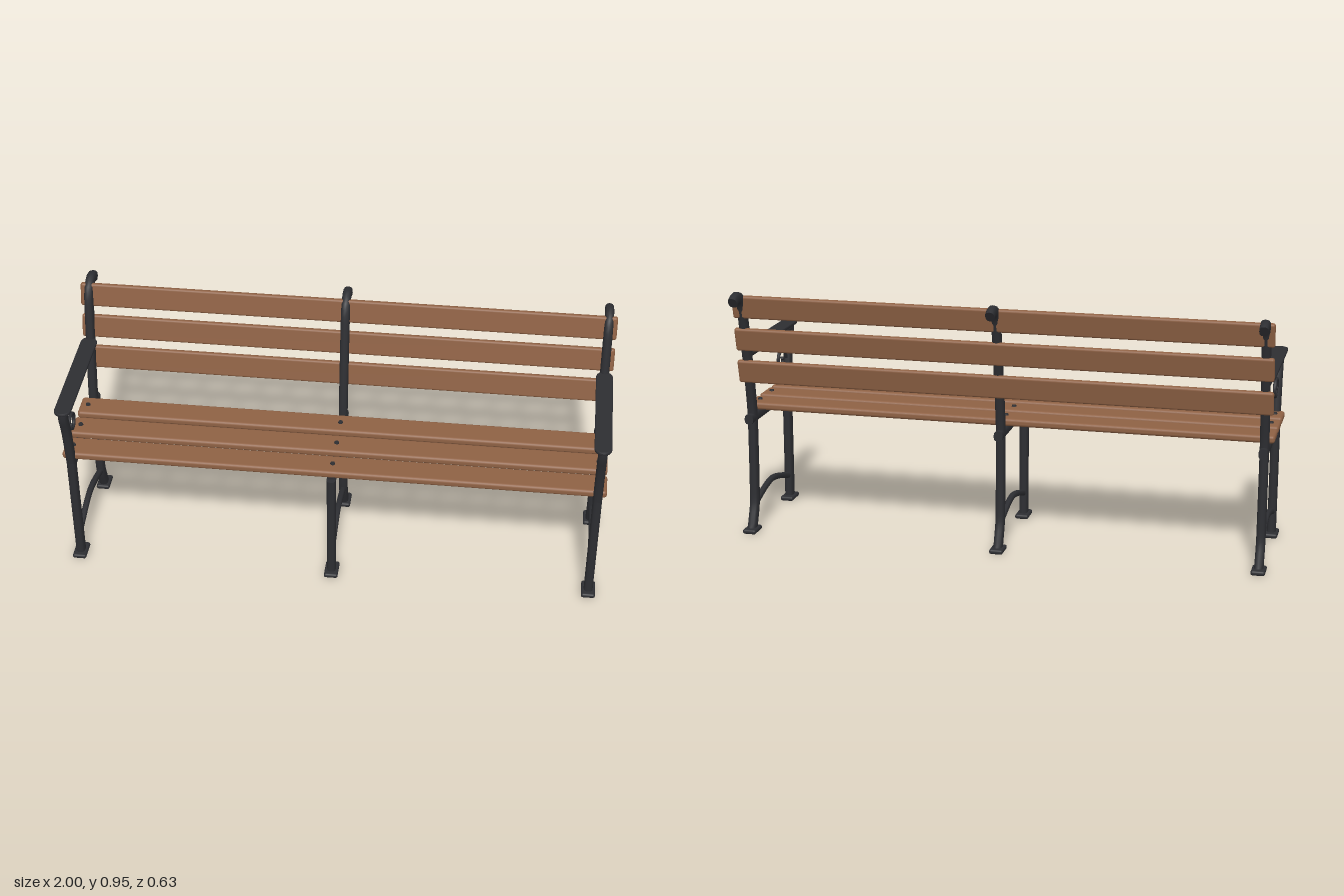
import * as THREE from 'three';
import { RoundedBoxGeometry } from 'three/addons/geometries/RoundedBoxGeometry.js';

const iron = new THREE.MeshStandardMaterial({ color: 0x2d2e32 });
const wood = new THREE.MeshStandardMaterial({ color: 0x8e6144 });

function add(parent, name, geometry, material, x = 0, y = 0, z = 0) {
  const mesh = new THREE.Mesh(geometry, material);
  mesh.name = name;
  mesh.position.set(x, y, z);
  parent.add(mesh);
  return mesh;
}

// Bar with a rounded section, swept along [z, y] points in the side plane.
// rx is the half width across x, rn the half depth within the plane.
function barGeometry(points, rx, rn, steps, sides = 12) {
  const curve = new THREE.CatmullRomCurve3(points.map(([z, y]) => new THREE.Vector3(0, y, z)));
  const across = new THREE.Vector3(1, 0, 0);
  const soft = (v) => Math.sign(v) * Math.abs(v) ** 0.75;
  const pos = [], index = [];
  const ring = (u) => {
    const p = curve.getPointAt(u);
    const n = curve.getTangentAt(u).cross(across).normalize();
    for (let j = 0; j < sides; j++) {
      const a = (j / sides) * Math.PI * 2;
      const s = soft(Math.sin(a)) * rn;
      pos.push(soft(Math.cos(a)) * rx, p.y + n.y * s, p.z + n.z * s);
    }
    return p;
  };
  for (let i = 0; i <= steps; i++) ring(i / steps);
  for (let i = 0; i < steps; i++) {
    for (let j = 0; j < sides; j++) {
      const k = (j + 1) % sides;
      const a = i * sides + j, b = i * sides + k;
      index.push(a, b, b + sides, a, b + sides, a + sides);
    }
  }
  // Flat end caps with their own vertices
  for (const u of [0, 1]) {
    const first = pos.length / 3;
    const p = ring(u);
    pos.push(p.x, p.y, p.z);
    for (let j = 0; j < sides; j++) {
      const a = first + j, b = first + ((j + 1) % sides);
      if (u) index.push(first + sides, a, b);
      else index.push(first + sides, b, a);
    }
  }
  const geometry = new THREE.BufferGeometry();
  geometry.setAttribute('position', new THREE.Float32BufferAttribute(pos, 3));
  geometry.setIndex(index);
  geometry.computeVertexNormals();
  return geometry;
}

// Flat armrest plate with rounded front and back ends
function armPlateGeometry(width, zFront, zBack, thickness) {
  const r = width / 2, b = 0.004;
  const shape = new THREE.Shape();
  shape.absarc(0, -(zFront - r), r - b, Math.PI, Math.PI * 2);
  shape.absarc(0, -(zBack + r), r - b, 0, Math.PI);
  const geometry = new THREE.ExtrudeGeometry(shape, {
    depth: thickness - 2 * b, bevelThickness: b, bevelSize: b, bevelSegments: 2, curveSegments: 10,
  });
  return geometry.rotateX(-Math.PI / 2).translate(0, b, 0);
}

const backPost = barGeometry([
  [-0.19, 0.01], [-0.175, 0.05], [-0.157, 0.1], [-0.151, 0.18], [-0.145, 0.42], [-0.147, 0.48],
  [-0.163, 0.6], [-0.185, 0.73], [-0.205, 0.84], [-0.217, 0.89], [-0.238, 0.92], [-0.265, 0.93],
  [-0.287, 0.927], [-0.304, 0.917],
], 0.017, 0.0215, 48);
const frontLeg = barGeometry([[0.231, 0.01], [0.235, 0.23], [0.238, 0.455]], 0.017, 0.022, 4);
const armPost = barGeometry([
  [0.238, 0.44], [0.246, 0.5], [0.262, 0.6], [0.275, 0.65], [0.286, 0.685], [0.287, 0.708],
], 0.017, 0.02, 16);
const seatRail = barGeometry([[0.24, 0.443], [0, 0.443], [-0.187, 0.443]], 0.017, 0.0195, 2);
const brace = barGeometry([
  [0.22, 0.1], [0.1, 0.134], [0.03, 0.144], [-0.04, 0.134], [-0.15, 0.102],
], 0.011, 0.0115, 12);
const armBar = barGeometry([[0.288, 0.696], [0.05, 0.696], [-0.19, 0.696]], 0.016, 0.014, 2);
const scroll = barGeometry([
  [0.236, 0.583], [0.222, 0.61], [0.205, 0.623], [0.18, 0.626], [0.158, 0.612], [0.149, 0.59],
  [0.158, 0.568], [0.177, 0.561], [0.194, 0.568], [0.2, 0.582], [0.191, 0.592],
], 0.007, 0.006, 32, 8);
const armPlate = armPlateGeometry(0.062, 0.315, -0.18, 0.013);
const footPlate = new RoundedBoxGeometry(0.052, 0.018, 0.084, 3, 0.008);
const bolt = new THREE.CylinderGeometry(0.008, 0.01, 0.008, 12);
const seatSlat = new RoundedBoxGeometry(2, 0.029, 0.103, 4, 0.011);
const backSlat = new RoundedBoxGeometry(2, 0.09, 0.022, 4, 0.009);

const seatZ = [0.192, 0.066, -0.06];

// One cast iron support; the end ones carry an armrest
function createFrame(x, hasArm) {
  const frame = new THREE.Group();
  frame.name = hasArm ? 'endFrame' : 'middleFrame';
  frame.position.x = x;
  add(frame, 'backPost', backPost, iron);
  add(frame, 'frontLeg', frontLeg, iron);
  add(frame, 'seatRail', seatRail, iron);
  add(frame, 'legBrace', brace, iron);
  add(frame, 'frontFoot', footPlate, iron, 0, 0.009, 0.229);
  add(frame, 'backFoot', footPlate, iron, 0, 0.009, -0.192).scale.z = 0.92;
  for (const z of seatZ) add(frame, 'seatBolt', bolt, iron, 0, 0.492, z);
  if (hasArm) {
    add(frame, 'armPost', armPost, iron);
    add(frame, 'armBar', armBar, iron);
    add(frame, 'armPlate', armPlate, iron, 0, 0.709, 0);
    add(frame, 'armScroll', scroll, iron);
  }
  return frame;
}

export function createModel() {
  const bench = new THREE.Group();
  bench.name = 'bench';
  for (const x of [-0.968, 0, 0.968]) bench.add(createFrame(x, x !== 0));

  // Wooden seat and leaning backrest
  for (const z of seatZ) add(bench, 'seatSlat', seatSlat, wood, 0, 0.476, z);
  for (const [y, z] of [[0.632, -0.187], [0.759, -0.206], [0.887, -0.224]]) {
    add(bench, 'backSlat', backSlat, wood, 0, y, z).rotation.x = -0.2;
  }
  return bench;
}
